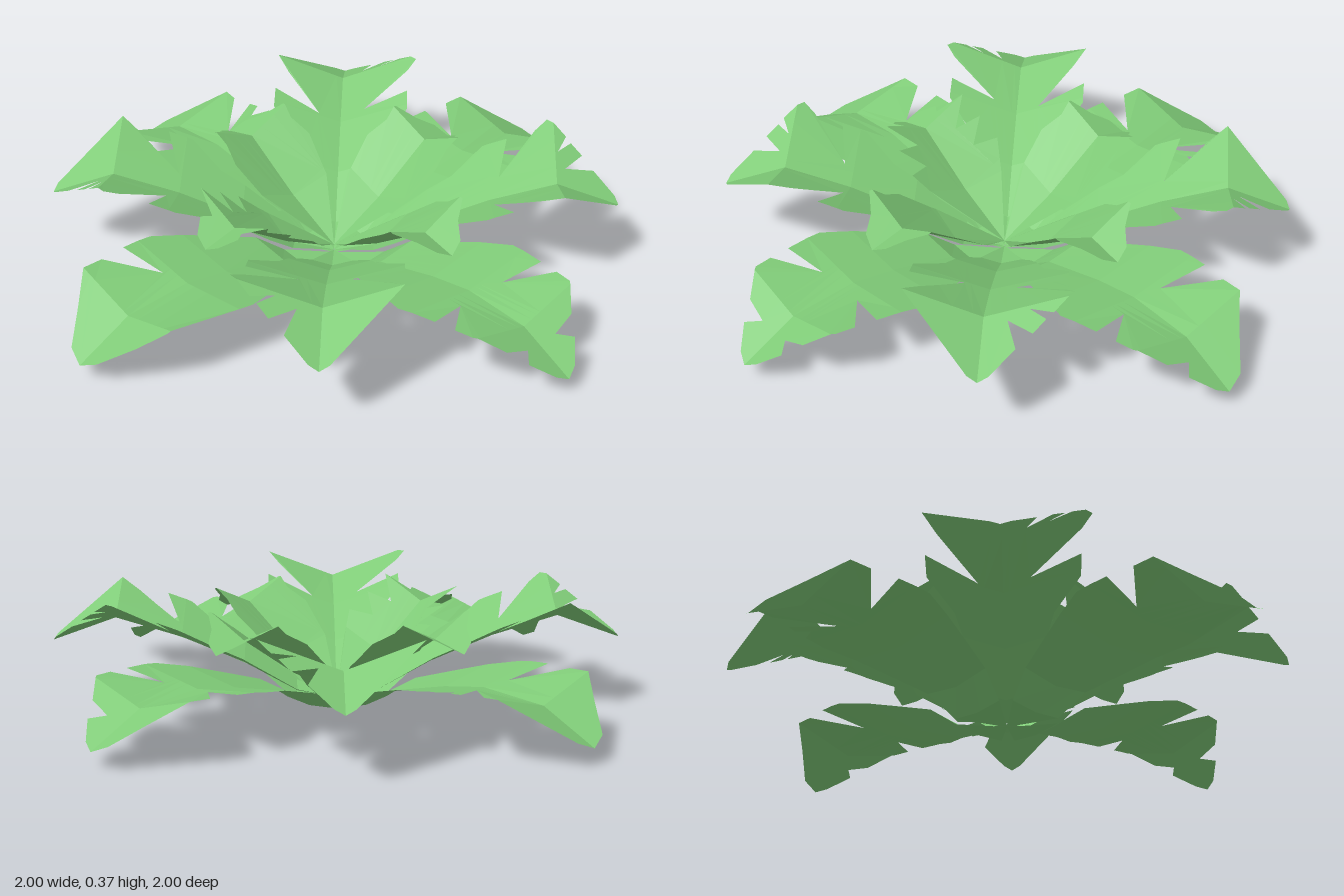
import * as THREE from 'three';

// Half outlines from tip to base as [distance from spine, distance from centre]
const outerBase = [[0.25, 0.55], [0.18, 0.35], [0.1, 0.13], [0, 0]];
const diagBase = [[0.23, 0.56], [0.23, 0.48], [0.15, 0.38], [0.1, 0.2], [0, 0]];
const edges = {
  outerSmooth: [[0, 1], [0.06, 0.98], [0.15, 0.9], [0.21, 0.83], [0.25, 0.6], ...outerBase],
  outerNotched: [[0, 1], [0.06, 0.985], [0.14, 0.9], [0.22, 0.82], [0.225, 0.75], [0.08, 0.63], [0.24, 0.66], ...outerBase],
  outerDouble: [[0, 1], [0.06, 0.985], [0.22, 0.82], [0.215, 0.77], [0.07, 0.63], [0.23, 0.7], [0.24, 0.67], [0.19, 0.645], [0.25, 0.62], ...outerBase],
  outerTorn: [[0, 1], [0.04, 0.985], [0.1, 0.93], [0.06, 0.89], [0.14, 0.88], [0.21, 0.81], [0.22, 0.75], [0.09, 0.65], [0.23, 0.68], ...outerBase],
  diagNotched: [[0, 0.91], [0.03, 0.9], [0.23, 0.71], [0.19, 0.65], [0.14, 0.59], [0.075, 0.51], ...diagBase],
  diagTorn: [[0, 0.91], [0.03, 0.9], [0.1, 0.835], [0.07, 0.74], [0.145, 0.8], [0.18, 0.765], [0.13, 0.72], [0.2, 0.75],
    [0.26, 0.69], [0.23, 0.65], [0.08, 0.53], ...diagBase],
  innerPlain: [[0, 0.525], [0.05, 0.51], [0.09, 0.46], [0.15, 0.42], [0.14, 0.37], [0.16, 0.3], [0.13, 0.18], [0, 0]],
  innerNotched: [[0, 0.525], [0.05, 0.515], [0.09, 0.47], [0.07, 0.44], [0.16, 0.41], [0.08, 0.35], [0.17, 0.33],
    [0.1, 0.28], [0.18, 0.25], [0.13, 0.17], [0, 0]],
};

// Crease lines as [distance from centre, spine height, sideways slope]
const creases = {
  outer: [[0, 0, 0], [0.13, 0.01, 0.1], [0.22, 0.07, 0.15], [0.45, 0.13, 0.14], [0.6, 0.155, 0.14], [0.82, 0.14, 0.28], [1, 0.05, 0.28]],
  diag: [[0, 0.01, 0.1], [0.13, 0.035, 0.3], [0.3, 0.13, 0.32], [0.5, 0.215, 0.33], [0.71, 0.28, 0.38], [0.92, 0.205, 0.38]],
  inner: [[0, 0.03, 0.2], [0.2, 0.13, 0.4], [0.41, 0.27, 0.45], [0.53, 0.24, 0.45]],
};

// Keep the part of a convex polygon where sign * (r - limit) >= 0
function clip(poly, limit, sign) {
  const out = [];
  poly.forEach((a, i) => {
    const b = poly[(i + 1) % poly.length];
    const da = sign * (a.y - limit), db = sign * (b.y - limit);
    if (da >= 0) out.push(a);
    if (da * db < 0) out.push(a.clone().lerp(b, da / (da - db)));
  });
  return out;
}

// Fold a flat leaf half along its crease lines
function addHalf(positions, outline, folds, side) {
  const points = outline.map(([w, r]) => new THREE.Vector2(w * side, r));
  for (const face of THREE.ShapeUtils.triangulateShape(points, [])) {
    const tri = face.map((i) => points[i]);
    const cross = tri[1].clone().sub(tri[0]).cross(tri[2].clone().sub(tri[0]));
    if (cross > 0) tri.reverse();
    for (let k = 0; k < folds.length - 1; k++) {
      const [r0, y0, s0] = folds[k], [r1, y1, s1] = folds[k + 1];
      const piece = clip(clip(tri, r0, 1), r1, -1);
      const lift = (p) => {
        const t = (p.y - r0) / (r1 - r0);
        const y = y0 + (y1 - y0) * t + (s0 + (s1 - s0) * t) * Math.abs(p.x);
        return [p.x, y, p.y];
      };
      for (let i = 1; i < piece.length - 1; i++) {
        positions.push(...lift(piece[0]), ...lift(piece[i]), ...lift(piece[i + 1]));
      }
    }
  }
}

export function createModel() {
  const plant = new THREE.Group();
  plant.name = 'leafRosette';
  const material = new THREE.MeshStandardMaterial({ color: 0x80cc78, flatShading: true, side: THREE.DoubleSide });

  // angle is in quarter turns from the front; plus and minus name the two edge styles
  function leaf(kind, name, angle, plus, minus) {
    const positions = [];
    addHalf(positions, edges[kind + plus], creases[kind], 1);
    addHalf(positions, edges[kind + minus], creases[kind], -1);
    const geometry = new THREE.BufferGeometry();
    geometry.setAttribute('position', new THREE.Float32BufferAttribute(positions, 3));
    geometry.computeVertexNormals();
    const mesh = new THREE.Mesh(geometry, material);
    mesh.name = name;
    mesh.rotation.y = angle * Math.PI / 2;
    plant.add(mesh);
  }

  // Long drooping outer leaves
  leaf('outer', 'outerLeafFront', 0, 'Torn', 'Torn');
  leaf('outer', 'outerLeafLeft', 1, 'Notched', 'Torn');
  leaf('outer', 'outerLeafBack', 2, 'Notched', 'Double');
  leaf('outer', 'outerLeafRight', 3, 'Smooth', 'Notched');

  // Raised diagonal leaves
  leaf('diag', 'diagonalLeafFrontLeft', 0.5, 'Torn', 'Notched');
  leaf('diag', 'diagonalLeafBackLeft', 1.5, 'Notched', 'Torn');
  leaf('diag', 'diagonalLeafBackRight', 2.5, 'Torn', 'Notched');
  leaf('diag', 'diagonalLeafFrontRight', 3.5, 'Notched', 'Torn');

  // Short steep inner leaves
  leaf('inner', 'innerLeafFront', 0, 'Plain', 'Plain');
  leaf('inner', 'innerLeafLeft', 1, 'Plain', 'Plain');
  leaf('inner', 'innerLeafBack', 2, 'Plain', 'Plain');
  leaf('inner', 'innerLeafRight', 3, 'Notched', 'Notched');

  return plant;
}
